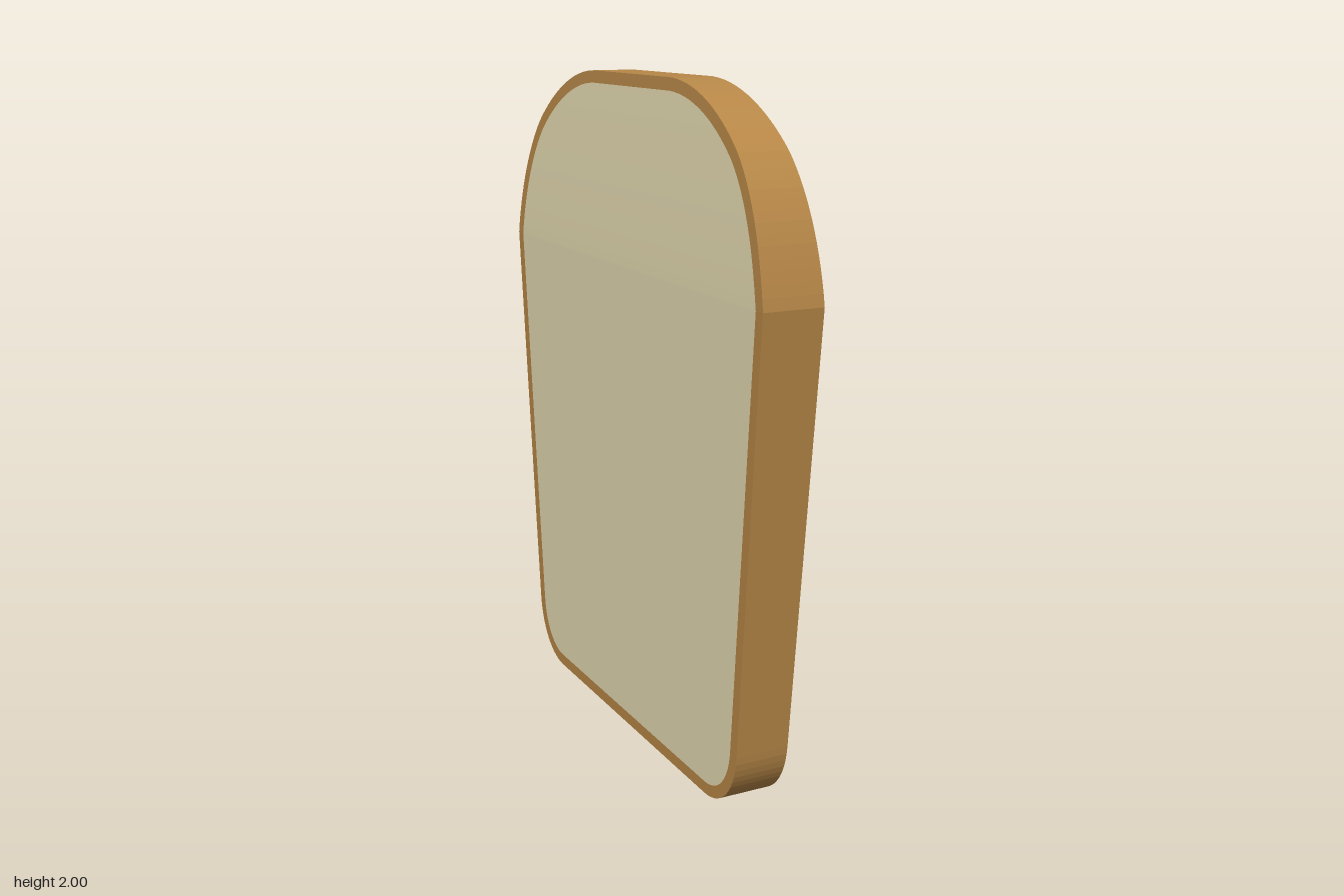
import * as THREE from 'three';

const RIM = 0.036; // width of the crust seen on each face

// Half thickness of the slice by height: fullest at the shoulders, thin at the top.
function halfThickness(y) {
  if (y < 1.45) return 0.08 + 0.01 * y / 1.45;
  return 0.09 - 0.025 * Math.pow(Math.min((y - 1.45) / 0.55, 1), 1.4);
}

// Closed outline in (z, y): up the +z side, then mirrored down the -z side.
function sliceOutline() {
  const half = new THREE.Path();
  half.moveTo(0.51, 0);
  half.bezierCurveTo(0.61, 0, 0.685, 0.08, 0.695, 0.19);
  half.lineTo(0.81, 1.45);
  half.bezierCurveTo(0.785, 1.61, 0.73, 1.74, 0.645, 1.83);
  half.bezierCurveTo(0.55, 1.92, 0.41, 1.995, 0.25, 2);
  const side = half.getPoints(14);
  return [...side, ...side.slice().reverse().map(p => new THREE.Vector2(-p.x, p.y))];
}

// Moves each outline point inwards along its averaged normal.
function inset(loop, width) {
  const n = loop.length;
  return loop.map((p, i) => {
    const a = p.clone().sub(loop[(i + n - 1) % n]).normalize();
    const b = loop[(i + 1) % n].clone().sub(p).normalize();
    const d = a.add(b).normalize();
    return new THREE.Vector2(p.x - d.y * width, p.y + d.x * width);
  });
}

function createMesh(name, color, positions) {
  const geometry = new THREE.BufferGeometry();
  geometry.setAttribute('position', new THREE.Float32BufferAttribute(positions, 3));
  geometry.computeVertexNormals();
  const mesh = new THREE.Mesh(geometry, new THREE.MeshStandardMaterial({ color }));
  mesh.name = name;
  return mesh;
}

export function createModel() {
  const outer = sliceOutline();
  const inner = inset(outer, RIM);
  const n = outer.length;
  const crust = [], crumb = [];

  const at = (p, sign) => [sign * halfThickness(p.y), p.y, p.x];
  const quad = (out, a, b, c, d) => out.push(...a, ...b, ...c, ...a, ...c, ...d);
  // Face quad on the +x or -x side, wound to face outwards
  const faceQuad = (out, sign, corners) => {
    const pts = corners.map(p => at(p, sign));
    if (sign < 0) pts.reverse();
    quad(out, ...pts);
  };

  // Crust: outer wall and a rim on both faces
  for (let i = 0; i < n; i++) {
    const j = (i + 1) % n;
    quad(crust, at(outer[i], -1), at(outer[i], 1), at(outer[j], 1), at(outer[j], -1));
    for (const sign of [1, -1]) faceQuad(crust, sign, [inner[i], inner[j], outer[j], outer[i]]);
  }

  // Crumb: horizontal strips between the two sides of the inner outline
  for (let i = 0; i < n / 2 - 1; i++) {
    const corners = [inner[n - 1 - i], inner[n - 2 - i], inner[i + 1], inner[i]];
    for (const sign of [1, -1]) faceQuad(crumb, sign, corners);
  }

  const group = new THREE.Group();
  group.name = 'breadSlice';
  group.add(createMesh('crust', 0xb88848, crust), createMesh('crumb', 0xe3d9b0, crumb));
  return group;
}
